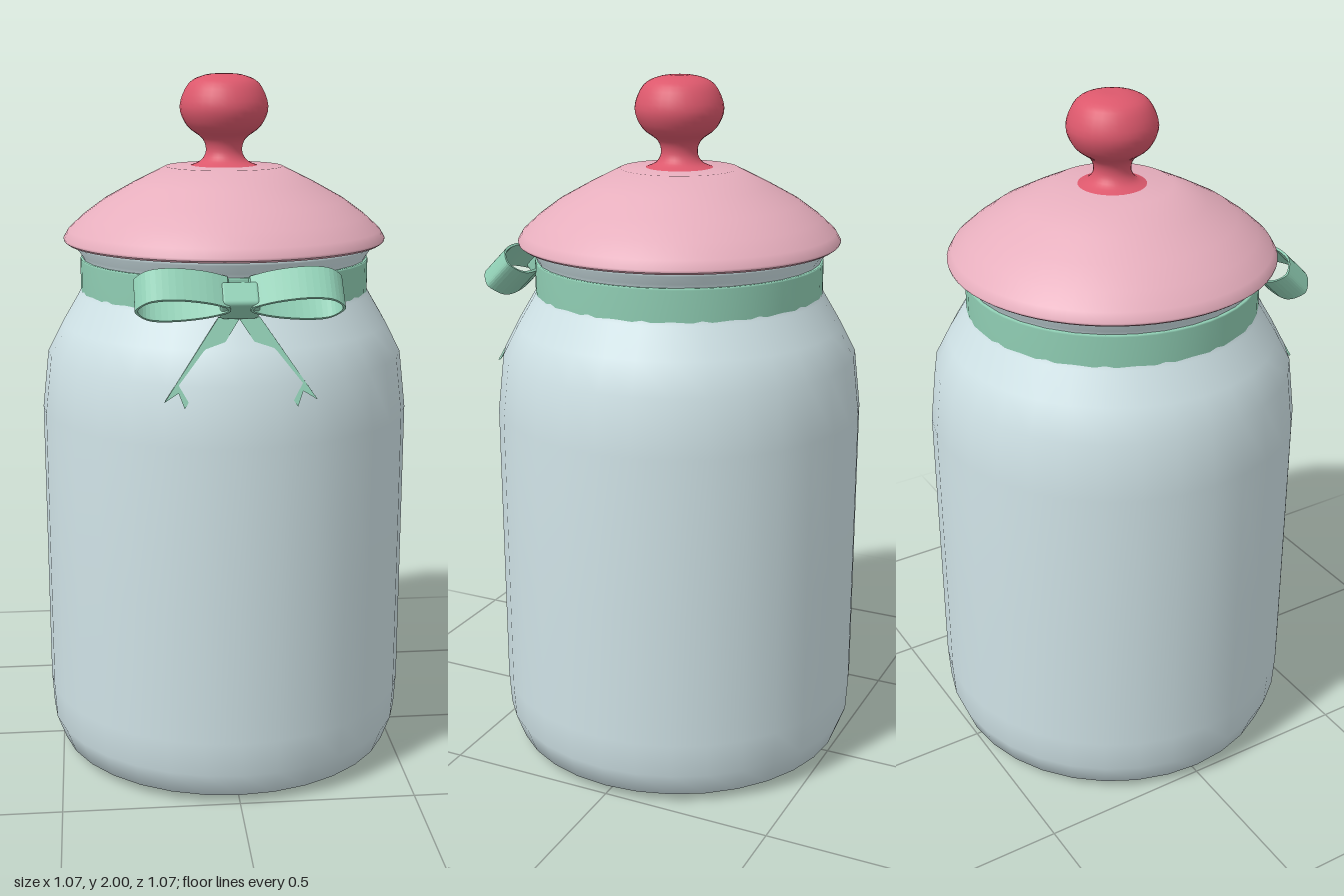
import * as THREE from 'three';
import { RoundedBoxGeometry } from 'three/addons/geometries/RoundedBoxGeometry.js';

const V2 = (x, y) => new THREE.Vector2(x, y);

function material(name, color) {
  const m = new THREE.MeshStandardMaterial({ color, side: THREE.DoubleSide });
  m.name = name;
  return m;
}

function part(parent, name, geometry, mat) {
  const mesh = new THREE.Mesh(geometry, mat);
  mesh.name = name;
  parent.add(mesh);
  return mesh;
}

const lathe = (points, sides) => new THREE.LatheGeometry(points.map(([r, y]) => V2(r, y)), sides);

export function createModel() {
  const root = new THREE.Group();
  root.name = 'cookieJar';
  const ceramic = material('paleBlueCeramic', 0xcfe2e6);
  const pink = material('pinkLid', 0xe6aebd);
  const red = material('redKnob', 0xdc586c);
  const green = material('greenRibbon', 0x8fcdb3);

  // Jar body with rounded base, sloping shoulder and flared rim
  part(root, 'jarBody', lathe([
    [0, 0], [0.42, 0], [0.445, 0.005], [0.5, 0.027], [0.527, 0.1], [0.533, 0.2], [0.533, 0.6],
    [0.533, 1.05], [0.514, 1.215], [0.47, 1.3], [0.42, 1.385], [0.402, 1.42], [0.402, 1.47],
    [0.412, 1.495], [0.43, 1.52], [0.43, 1.532], [0, 1.532],
  ], 32), ceramic);

  // Ribbon band round the neck
  part(root, 'neckRibbon', lathe([
    [0.398, 1.388], [0.414, 1.388], [0.415, 1.392], [0.415, 1.48], [0.414, 1.485], [0.398, 1.485],
  ], 48), green);

  // Domed lid, with a separate underside to keep the edge crisp
  part(root, 'lid', lathe([
    [0.46, 1.536], [0.462, 1.543], [0.448, 1.567], [0.405, 1.606], [0.345, 1.65],
    [0.26, 1.697], [0.168, 1.743], [0, 1.748],
  ], 64), pink);
  part(root, 'lidUnderside', lathe([[0, 1.53], [0.452, 1.53], [0.46, 1.536]], 64), pink);

  // Knob
  const knobCurve = new THREE.SplineCurve([
    [0.105, 1.742], [0.068, 1.757], [0.052, 1.785], [0.062, 1.82], [0.105, 1.855],
    [0.126, 1.91], [0.1, 1.973], [0.05, 1.997], [0, 2],
  ].map(([r, y]) => V2(r, y)));
  const knobPoints = knobCurve.getPoints(32).map((p) => [Math.max(p.x, 0), Math.min(p.y, 2)]);
  part(root, 'knob', lathe(knobPoints, 32), red);

  // Bow, tilted so its upper face looks up and forward
  const bow = new THREE.Group();
  bow.name = 'bow';
  bow.position.set(0, 1.447, 0.443);
  bow.rotation.x = Math.PI / 4;
  root.add(bow);

  const knot = part(bow, 'bowKnot', new RoundedBoxGeometry(0.105, 0.075, 0.075, 3, 0.012), green);
  knot.position.set(0, -0.016, 0.008);

  // Closed ribbon outline, inset by t for the opening
  const loopOutline = (side, t) => new THREE.SplineCurve([
    [0.03 + t, 0.012 - t / 2], [0.09, 0.037 - t], [0.17, 0.052 - t], [0.235, 0.045 - t], [0.272 - t, 0.012],
    [0.272 - t, -0.012], [0.235, -0.045 + t], [0.17, -0.05 + t], [0.09, -0.037 + t], [0.03 + t, -0.012 + t / 2],
    [0.03 + t, 0.012 - t / 2],
  ].map(([x, y]) => V2(side * x, y))).getPoints(40);

  for (const side of [1, -1]) {
    const label = side > 0 ? 'left' : 'right';
    const shape = new THREE.Shape(loopOutline(side, 0));
    shape.holes.push(new THREE.Path(loopOutline(side, 0.007)));
    const loop = new THREE.ExtrudeGeometry(shape, { depth: 0.1, bevelEnabled: false });
    loop.translate(0, 0, -0.05);
    part(bow, label + 'BowLoop', loop, green);

    // Tail with a notched end, lying against the shoulder
    const tail = new THREE.ExtrudeGeometry(new THREE.Shape([
      [0, 1.38], [0.055, 1.385], [0.203, 1.172], [0.165, 1.195], [0.15, 1.155],
    ].map(([x, y]) => V2(side * x, y))), { depth: 0.006, bevelEnabled: false });
    const pos = tail.attributes.position;
    for (let i = 0; i < pos.count; i++) {
      pos.setZ(i, pos.getZ(i) + 0.43 + (1.38 - pos.getY(i)) * 0.295);
    }
    tail.computeVertexNormals();
    part(root, label + 'BowTail', tail, green);
  }
  return root;
}
